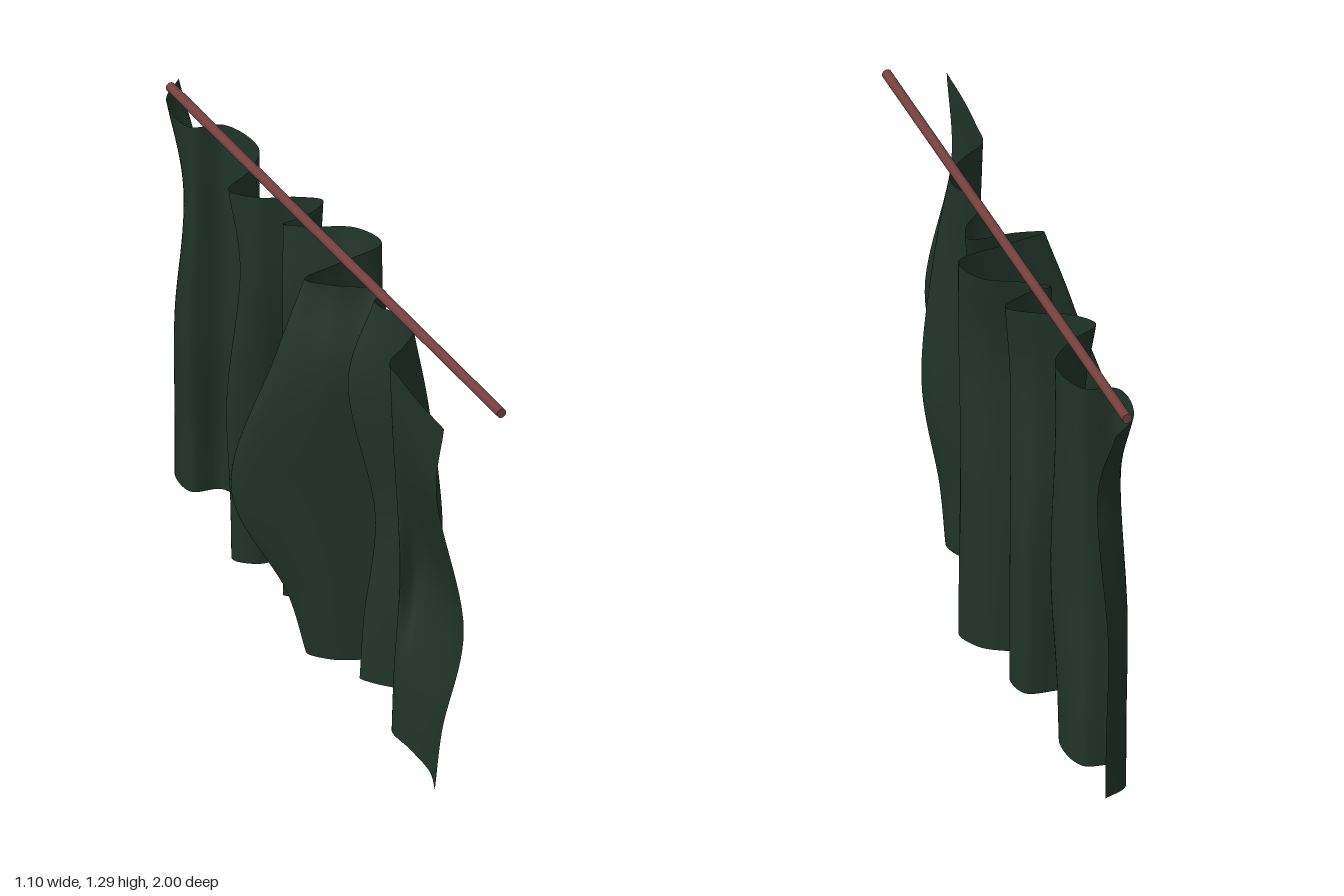
import * as THREE from 'three';

// Hem line of the curtain, back end to front end: [x, z]
const HEM = [
  [-0.475, -0.95], [-0.52, -0.87], [-0.465, -0.755], [-0.375, -0.775], [-0.28, -0.65],
  [-0.285, -0.5], [-0.325, -0.37], [-0.25, -0.345], [-0.13, -0.39], [-0.065, -0.3],
  [-0.11, -0.21], [-0.165, -0.17], [-0.08, -0.155], [0.05, -0.15], [0.13, -0.075],
  [0.02, 0.05], [-0.08, 0.16], [0, 0.2], [0.16, 0.195], [0.185, 0.23],
  [0.085, 0.3], [0.125, 0.33], [0.22, 0.37], [0.265, 0.43], [0.235, 0.52],
  [0.195, 0.6], [0.255, 0.71], [0.32, 0.84], [0.34, 0.94],
];

// How folds drift away from the hem: [hem index, middle x, z, upper x, z, top x, z]
const DRIFT = [
  [0, -0.015, -0.035, 0.03, 0.035, -0.04, -0.05],
  [1, 0, 0.01, 0.03, 0.03, -0.025, 0],
  [2, -0.01, 0.035, 0.005, 0.045, -0.005, 0.035],
  [4, 0.035, 0.05, 0.02, 0.05, 0.02, 0.04],
  [6, -0.015, 0.01, 0.025, 0.02, -0.01, 0.01],
  [7, 0, 0.005, 0, 0.03, 0, 0.025],
  [8, 0, 0.015, 0, 0.065, 0, 0.06],
  [9, 0, 0.01, 0, 0.01, 0.01, -0.015],
  [11, 0, 0.01, 0, 0.03, 0, 0],
  [13, 0, 0.01, 0, 0.03, 0, -0.01],
  [14, -0.01, -0.015, 0.005, 0.03, 0, 0],
  [16, -0.22, 0, -0.09, 0, -0.005, -0.015],
  [17, -0.1, -0.005, -0.03, 0.005, 0, -0.05],
  [18, 0.005, 0.015, -0.01, 0.015, -0.02, -0.07],
  [19, -0.005, 0.02, -0.03, 0.005, -0.03, -0.055],
  [20, 0.045, -0.01, -0.035, -0.02, 0.04, -0.05],
  [23, 0.07, -0.005, 0.03, 0, -0.015, 0],
  [25, 0.025, 0.02, 0.005, 0.02, -0.005, 0.02],
  [26, 0.015, -0.11, -0.02, 0, -0.03, 0],
  [27, 0.055, -0.06, -0.02, 0.01, -0.03, 0.01],
  [28, 0.085, 0.005, 0.005, 0.005, 0.03, 0.06],
];

// Drift values of one hem point, blended between neighbouring keys
function driftAt(index) {
  const k = Math.max(1, DRIFT.findIndex((d) => d[0] >= index));
  const a = DRIFT[k - 1], b = DRIFT[k];
  const t = (index - a[0]) / (b[0] - a[0]);
  return a.slice(1).map((v, i) => THREE.MathUtils.lerp(v, b[i + 1], t));
}

// Upright curve from the hem to the top edge, which sags slightly at the big fold
function upright([x, z], index) {
  const [mx, mz, ux, uz, tx, tz] = driftAt(index);
  const sag = 0.04 * Math.exp(-((index - 18.2) ** 2) / 1.7);
  return new THREE.CatmullRomCurve3([
    [0, 0, 0], [mx * 0.25, 0.2, mz * 0.25], [mx, 0.54, mz], [ux, 1, uz], [tx, 1.255 - sag, tz],
  ].map(([dx, y, dz]) => new THREE.Vector3(x + dx, y, z + dz)));
}

function curtainGeometry(cols = 300, rows = 44) {
  const uprights = HEM.map(upright);
  const geometry = new THREE.PlaneGeometry(1, 1, cols, rows);
  const pos = geometry.attributes.position;
  for (let r = 0; r <= rows; r++) {
    const line = new THREE.CatmullRomCurve3(uprights.map((c) => c.getPoint(1 - r / rows)));
    for (let c = 0; c <= cols; c++) {
      const p = line.getPoint(c / cols);
      pos.setXYZ(r * (cols + 1) + c, p.x, p.y, p.z);
    }
  }
  geometry.computeVertexNormals();
  return geometry;
}

export function createModel() {
  const group = new THREE.Group();
  group.name = 'curtainOnRod';

  // Hanging cloth
  const curtain = new THREE.Mesh(curtainGeometry(),
    new THREE.MeshStandardMaterial({ color: 0x213329, side: THREE.DoubleSide }));
  curtain.name = 'curtain';
  group.add(curtain);

  // Straight rod running diagonally above the cloth
  const start = new THREE.Vector3(-0.535, 1.273, -0.92);
  const end = new THREE.Vector3(0.535, 1.273, 0.93);
  const along = end.clone().sub(start);
  const rod = new THREE.Mesh(new THREE.CylinderGeometry(0.015, 0.015, along.length(), 24),
    new THREE.MeshStandardMaterial({ color: 0x743f3f }));
  rod.name = 'rod';
  rod.position.copy(start).add(end).multiplyScalar(0.5);
  rod.quaternion.setFromUnitVectors(new THREE.Vector3(0, 1, 0), along.normalize());
  group.add(rod);

  return group;
}
